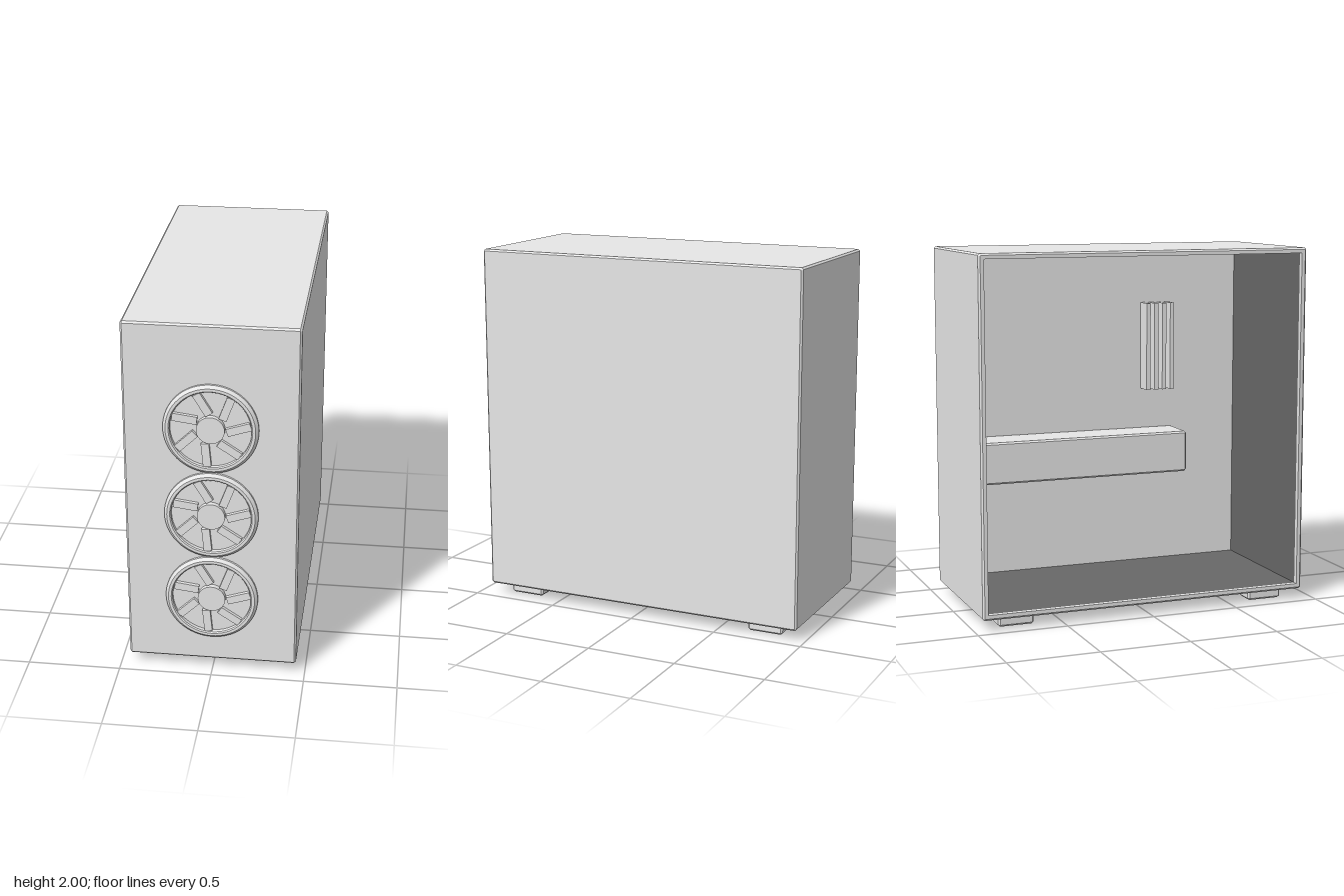
import * as THREE from 'three';
import { toCreasedNormals } from 'three/addons/utils/BufferGeometryUtils.js';

function colour(name, hex) {
  const material = new THREE.MeshStandardMaterial({ color: hex });
  material.name = name;
  return material;
}
const lightGrey = colour('light grey', 0xe7e7e7);
const darkGrey = colour('dark grey', 0x686868);

const BEVEL = 0.01, WALL = 0.026, LINER = 0.004, LIP = 0.026;
const BOTTOM = 0.059, TOP = 2, HALF_W = 0.452;
const BACK = -0.958, FRONT = 0.93;

function add(parent, name, geometry, x = 0, y = 0, z = 0, material = lightGrey) {
  const mesh = new THREE.Mesh(geometry, material);
  mesh.name = name;
  mesh.position.set(x, y, z);
  parent.add(mesh);
}

// Box given by its limits on each axis
function boxBetween(parent, name, [x0, x1], [y0, y1], [z0, z1], material) {
  add(parent, name, new THREE.BoxGeometry(x1 - x0, y1 - y0, z1 - z0),
    (x0 + x1) / 2, (y0 + y1) / 2, (z0 + z1) / 2, material);
}

// Centred rectangle with cut corners
function chamferedRect(w, h, c) {
  const a = w / 2, b = h / 2;
  const corners = [[-a + c, -b], [a - c, -b], [a, -b + c], [a, b - c],
    [a - c, b], [-a + c, b], [-a, b - c], [-a, -b + c]];
  return new THREE.Shape(corners.map(([x, y]) => new THREE.Vector2(x, y)));
}

// Corners of a centred rectangle given by its half sizes
function rectPoints(hw, hh) {
  return [[-hw, -hh], [hw, -hh], [hw, hh], [-hw, hh]].map(([x, y]) => new THREE.Vector2(x, y));
}

// Centred extrusion along z with one flat bevel at each end
function bevelExtrude(shape, depth) {
  return new THREE.ExtrudeGeometry(shape, {
    depth: depth - 2 * BEVEL, bevelEnabled: true, bevelThickness: BEVEL,
    bevelSize: BEVEL, bevelOffset: -BEVEL, bevelSegments: 1,
  }).translate(0, 0, BEVEL - depth / 2);
}

// Case: a hollow frame open on one side, closed by a panel on the other
function makeCase() {
  const group = new THREE.Group();
  group.name = 'case';
  const h = TOP - BOTTOM, d = FRONT - BACK;
  const midY = (TOP + BOTTOM) / 2, midZ = (FRONT + BACK) / 2;
  const hw = d / 2 - WALL, hh = h / 2 - WALL;
  const outline = chamferedRect(d, h, BEVEL);
  outline.holes.push(new THREE.Path(rectPoints(hw, hh)));
  const frame = bevelExtrude(outline, 2 * HALF_W).rotateY(Math.PI / 2);
  add(group, 'caseFrame', frame, 0, midY, midZ);
  boxBetween(group, 'sidePanel', [HALF_W - WALL, HALF_W],
    [midY - hh - BEVEL, midY + hh + BEVEL], [midZ - hw - BEVEL, midZ + hw + BEVEL]);

  // Square lip around the open side
  const lip = new THREE.Shape(rectPoints(hw + BEVEL, hh + BEVEL));
  lip.holes.push(new THREE.Path(rectPoints(hw - LINER, hh - LINER)));
  const lipGeometry = new THREE.ExtrudeGeometry(lip, { depth: LIP, bevelEnabled: false })
    .rotateY(Math.PI / 2);
  add(group, 'openingLip', lipGeometry, -HALF_W, midY, midZ);

  // Dark lining on the floor, ceiling, front and back of the inside
  const xs = [-HALF_W + LIP, HALF_W - WALL];
  const [y0, y1, z0, z1] = [midY - hh, midY + hh, midZ - hw, midZ + hw];
  boxBetween(group, 'floorLining', xs, [y0, y0 + LINER], [z0, z1], darkGrey);
  boxBetween(group, 'ceilingLining', xs, [y1 - LINER, y1], [z0, z1], darkGrey);
  boxBetween(group, 'frontLining', xs, [y0 + LINER, y1 - LINER], [z1 - LINER, z1], darkGrey);
  boxBetween(group, 'backLining', xs, [y0 + LINER, y1 - LINER], [z0, z0 + LINER], darkGrey);
  return group;
}

// Fan: chamfered ring, hub and seven flat blades set off the radius
function makeFan(y) {
  const fan = new THREE.Group();
  fan.name = 'frontFan';
  fan.position.set(0, y, FRONT);
  const profile = [[0.245, -0.005], [0.245, 0.013], [0.23, 0.028], [0.215, 0.028],
    [0.209, 0.022], [0.209, -0.005]].map(([r, t]) => new THREE.Vector2(r, t));
  const ring = new THREE.LatheGeometry(profile, 64).rotateX(Math.PI / 2);
  add(fan, 'fanRing', toCreasedNormals(ring, 0.4));
  const hub = new THREE.CylinderGeometry(0.073, 0.073, 0.032, 40).rotateX(Math.PI / 2);
  add(fan, 'fanHub', hub, 0, 0, 0.012);
  for (let i = 0; i < 7; i++) {
    const blade = new THREE.BoxGeometry(0.128, 0.042, 0.024)
      .translate(0.139, -0.037, 0.008)
      .rotateZ(THREE.MathUtils.degToRad(121) - i * Math.PI * 2 / 7);
    add(fan, 'fanBlade', blade);
  }
  return fan;
}

export function createModel() {
  const model = new THREE.Group();
  model.name = 'computerTower';
  model.add(makeCase());

  for (const y of [1.441, 0.947, 0.453]) model.add(makeFan(y));

  // Four bevelled feet
  for (const x of [-0.33, 0.33]) {
    for (const z of [0.728, -0.755]) {
      const foot = bevelExtrude(chamferedRect(0.12, 0.2, BEVEL), 0.059).rotateX(Math.PI / 2);
      add(model, 'foot', foot, x, 0.0295, z);
    }
  }

  // Inside, mounted on the closed side panel
  const inner = HALF_W - WALL;
  const cardSide = 0.185, cardBack = BACK + WALL + LINER, cardFront = 0.49;
  const card = bevelExtrude(chamferedRect(inner - cardSide, 0.24, BEVEL), cardFront - cardBack);
  add(model, 'graphicsCard', card, (inner + cardSide) / 2, 0.78, (cardFront + cardBack) / 2);
  for (let i = 0; i < 4; i++) {
    const z = 0.455 - i * 0.05;
    boxBetween(model, 'memoryStick', [0.33, inner], [1.136, 1.65], [z - 0.0125, z + 0.0125]);
  }
  return model;
}
